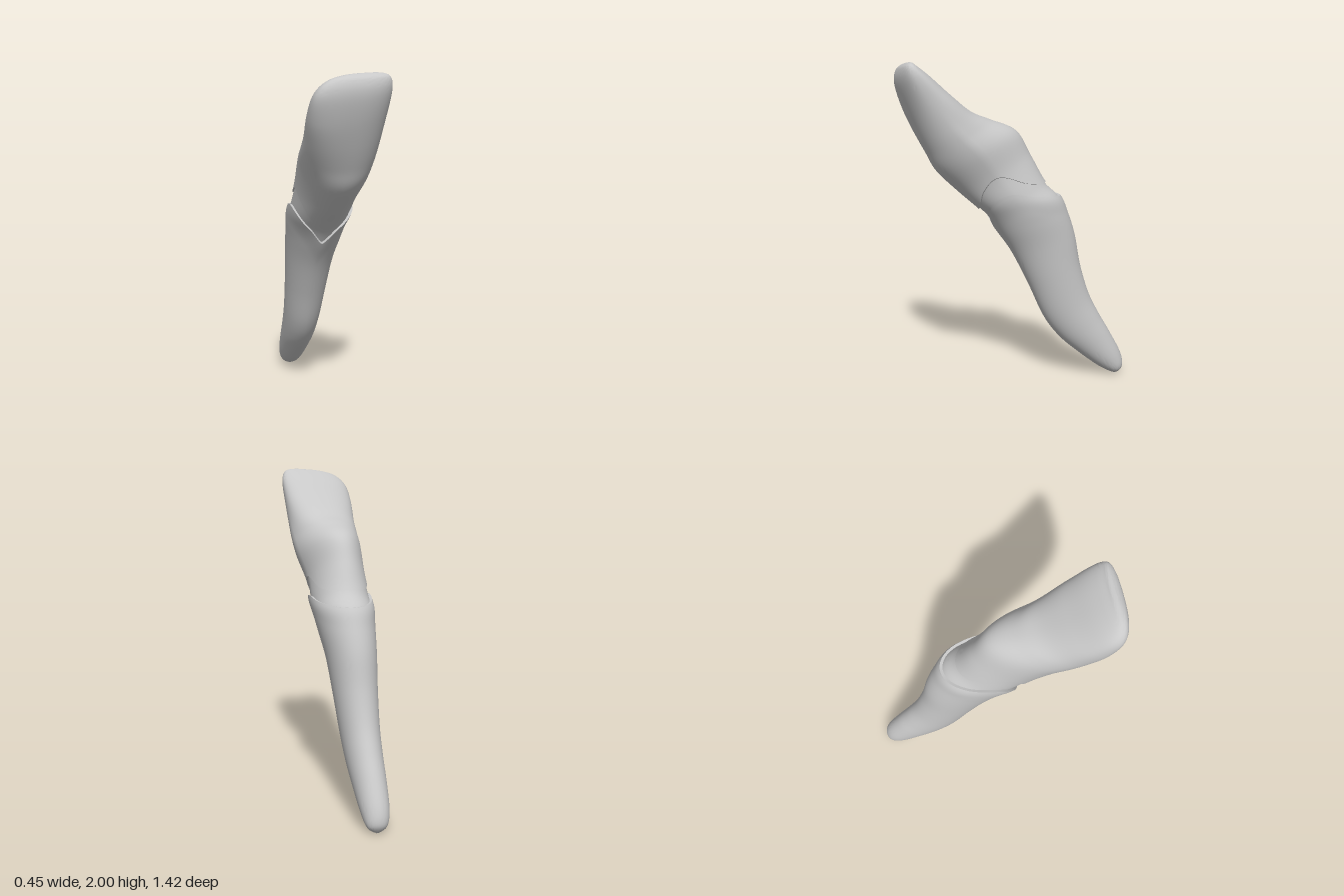
import * as THREE from 'three';
import { toCreasedNormals } from 'three/addons/utils/BufferGeometryUtils.js';

// Cross-sections from root tip to biting edge:
// [front z, front y, back z, back y, right x, left x]
const SECTIONS = [
  [-0.67, 0.0, -0.68, 0.005, -0.095, -0.085],
  [-0.63, 0.01, -0.71, 0.06, -0.145, -0.035],
  [-0.54, 0.06, -0.69, 0.15, -0.172, -0.01],
  [-0.40, 0.17, -0.61, 0.30, -0.182, 0.012],
  [-0.28, 0.28, -0.54, 0.42, -0.185, 0.028],
  [-0.18, 0.42, -0.47, 0.56, -0.188, 0.043],
  [-0.08, 0.64, -0.41, 0.75, -0.195, 0.065],
  [0.02, 0.84, -0.37, 0.95, -0.205, 0.09],
  [0.11, 0.98, -0.32, 1.10, -0.213, 0.12],
  [0.18, 1.08, -0.27, 1.20, -0.22, 0.14],
  [0.25, 1.15, -0.18, 1.29, -0.213, 0.146],
  [0.35, 1.24, -0.09, 1.45, -0.203, 0.15],
  [0.48, 1.37, 0.0, 1.60, -0.208, 0.19],
  [0.54, 1.48, 0.16, 1.67, -0.217, 0.205],
  [0.60, 1.60, 0.28, 1.72, -0.222, 0.212],
  [0.655, 1.73, 0.405, 1.817, -0.228, 0.22],
  [0.69, 1.84, 0.51, 1.908, -0.217, 0.226],
  [0.70, 1.91, 0.57, 1.954, -0.185, 0.222],
  [0.69, 1.96, 0.61, 1.98, -0.13, 0.205],
  [0.67, 1.983, 0.625, 1.991, -0.06, 0.17],
  [0.65, 1.993, 0.64, 1.994, 0.0, 0.12],
];
const END = SECTIONS.length - 1;
const AROUND = 64;

// Seam heights, in cross-sections, every 30 degrees from front to back
const ROOT_SEAM = [[8.25], [9.3], [10.05], [10.2], [9.6], [9.15], [9.0]];
const CROWN_SEAM = [[9.7], [10.1], [10.75], [11], [10.35], [10.05], [10]];

// Smooth interpolation between the rows of a table
function blend(table, t) {
  const last = table.length - 1;
  const i = Math.min(Math.max(Math.floor(t), 0), last - 1);
  const f = t - i;
  const row = (k) => table[Math.min(Math.max(k, 0), last)];
  return row(i).map((b, n) => {
    const a = row(i - 1)[n], c = row(i + 1)[n], d = row(i + 2)[n];
    return b + 0.5 * f * (c - a + f * (2 * a - 5 * b + 4 * c - d + f * (3 * (b - c) + d - a)));
  });
}

const seam = (table, angle) => blend(table, Math.min(angle, Math.PI * 2 - angle) / (Math.PI / 6))[0];

// Point on the tooth skin; angle 0 is the front, a quarter turn is the left
function skin(t, angle, scale = 1) {
  const [fz, fy, bz, by, x0, x1] = blend(SECTIONS, t);
  const crown = THREE.MathUtils.smoothstep(t, 11, 15);
  const power = 2 / (2 + 0.4 * crown);
  const round = (v) => Math.sign(v) * Math.abs(v) ** power;
  const c = round(Math.cos(angle)) * scale, s = round(Math.sin(angle)) * scale;
  // the bulge behind the crown is narrower and sits towards its right
  const bulge = Math.exp(-(((t - 12.3) / 1.8) ** 2)) * Math.max(0, -c);
  const x = (x0 + x1) / 2 + (x1 - x0) / 2 * s * (1 - 0.22 * bulge) - 0.03 * bulge;
  // the crown is turned, its left side further back
  const turn = 0.17 * crown * x;
  return [
    x,
    (fy + by) / 2 + (fy - by) / 2 * c + turn * 0.35,
    (fz + bz) / 2 + (fz - bz) / 2 * c - turn,
  ];
}

// Skin made of closed loops; point(row, angle) gives each vertex
function loft(rows, point) {
  const positions = [], index = [];
  for (let r = 0; r < rows; r++) {
    for (let j = 0; j < AROUND; j++) positions.push(...point(r, j / AROUND * Math.PI * 2));
  }
  for (let r = 0; r < rows - 1; r++) {
    for (let j = 0; j < AROUND; j++) {
      const k = (j + 1) % AROUND;
      const a = r * AROUND + j, b = r * AROUND + k;
      index.push(a, b, b + AROUND, a, b + AROUND, a + AROUND);
    }
  }
  // end caps
  for (const [r, flip] of [[0, true], [rows - 1, false]]) {
    const centre = [0, 0, 0], start = r * AROUND;
    for (let j = 0; j < AROUND; j++) {
      for (let n = 0; n < 3; n++) centre[n] += positions[(start + j) * 3 + n] / AROUND;
    }
    const m = positions.length / 3;
    positions.push(...centre);
    for (let j = 0; j < AROUND; j++) {
      const a = start + j, b = start + (j + 1) % AROUND;
      index.push(...(flip ? [b, a, m] : [a, b, m]));
    }
  }
  const geometry = new THREE.BufferGeometry();
  geometry.setAttribute('position', new THREE.Float32BufferAttribute(positions, 3));
  geometry.setIndex(index);
  return toCreasedNormals(geometry, 0.8);
}

export function createModel() {
  const group = new THREE.Group();
  group.name = 'tooth';
  const grey = new THREE.MeshStandardMaterial({ color: 0xc8c8c8 });
  grey.name = 'light grey';
  const add = (name, geometry) => {
    const mesh = new THREE.Mesh(geometry, grey);
    mesh.name = name;
    group.add(mesh);
  };

  // Root with a rim flared at the sides
  const n = 60;
  add('root', loft(n + 1, (r, a) => {
    const u = r / n;
    const flare = 0.02 + 0.03 * Math.sin(a) ** 2;
    return skin(u * seam(ROOT_SEAM, a), a, 1 + flare * THREE.MathUtils.smoothstep(u, 0.86, 1));
  }));

  // Inset core between root and crown
  add('core', loft(17, (r, a) => {
    const low = seam(ROOT_SEAM, a) - 0.4, high = seam(CROWN_SEAM, a) + 0.4;
    return skin(low + (high - low) * r / 16, a, 0.955);
  }));

  // Crown up to the biting edge
  add('crown', loft(n + 1, (r, a) => {
    const low = seam(CROWN_SEAM, a);
    return skin(low + (END - low) * r / n, a);
  }));

  return group;
}
